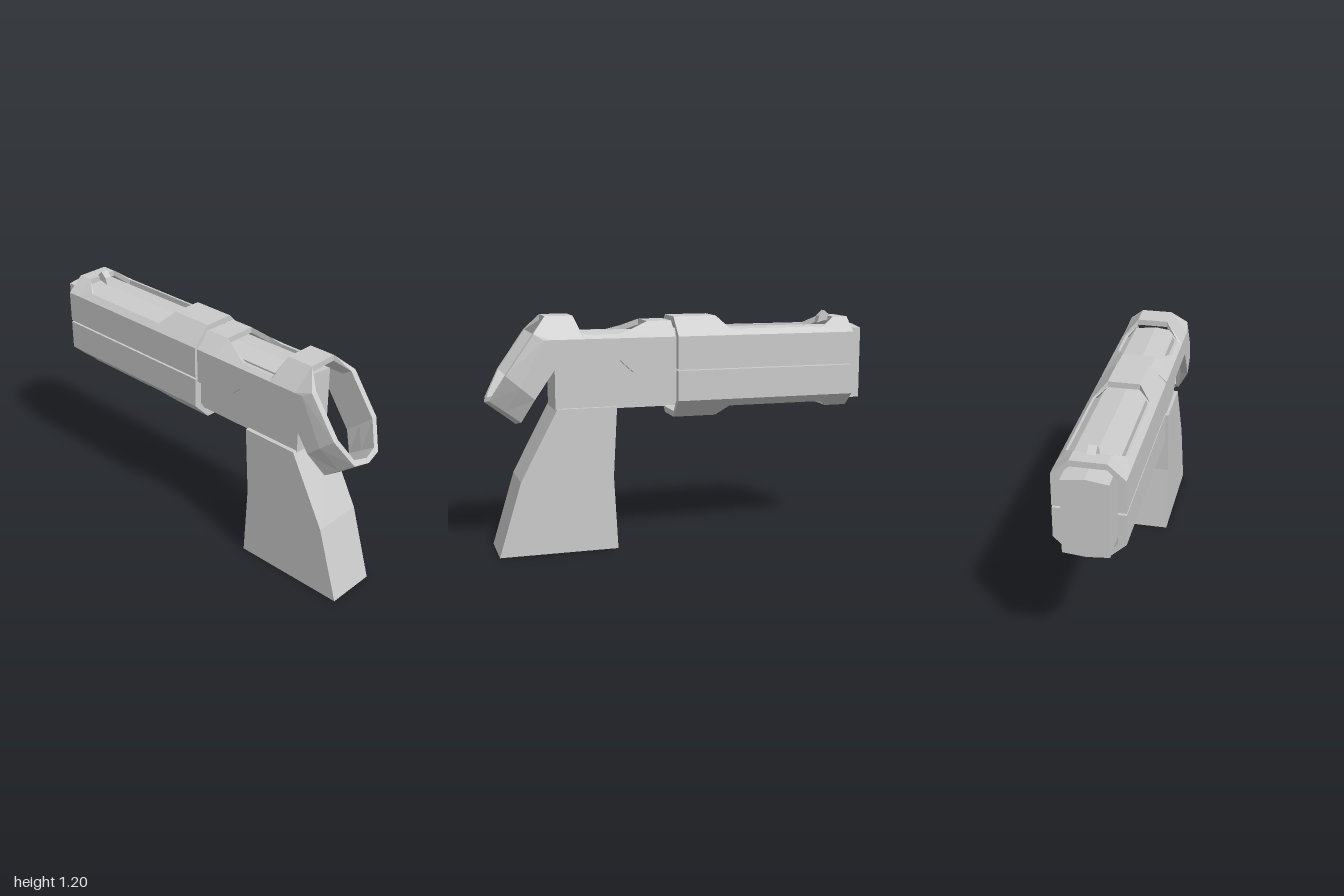
import * as THREE from 'three';

const grey = new THREE.MeshStandardMaterial({ color: 0xcccccc, flatShading: true, side: THREE.DoubleSide });

function add(group, name, geometry) {
  const mesh = new THREE.Mesh(geometry, grey);
  mesh.name = name;
  group.add(mesh);
  return mesh;
}

// Extrudes a side profile (x, y) across the width, centred on z = 0
function slab(points, halfWidth) {
  const shape = new THREE.Shape(points.map(p => new THREE.Vector2(...p)));
  return new THREE.ExtrudeGeometry(shape, { depth: 2 * halfWidth, bevelEnabled: false }).translate(0, 0, -halfWidth);
}

// Inner counterpart of an outer shell point: thick at the sides, a thin lip near the middle
const INNER = 0.13;
function inset([x, y, z], ySign, custom) {
  if (custom) return [x + custom[0], y + custom[1], z + custom[2]];
  return z > INNER ? [x, y, INNER] : [x, y - 0.03 * ySign, z];
}

// Lofts one side wall. Each station holds three outer points: seam, shoulder and lip.
function wall(stations, ySign, zSign) {
  const pos = [];
  const rings = stations.map(({ pts, custom }) =>
    [...pts, ...[...pts].reverse().map(p => inset(p, ySign, custom))].map(([x, y, z]) => [x, y, z * zSign]));
  const flip = ySign * zSign < 0;
  const tri = (a, b, c) => pos.push(...a, ...(flip ? c : b), ...(flip ? b : c));
  for (let i = 0; i < rings.length - 1; i++) {
    for (let j = 0; j < 6; j++) {
      const k = (j + 1) % 6, r = rings[i], s = rings[i + 1];
      tri(r[j], s[j], s[k]);
      tri(r[j], s[k], r[k]);
    }
  }
  const first = rings[0], last = rings[rings.length - 1];
  for (const [a, b, c] of [[0, 1, 4], [0, 4, 5], [1, 2, 3], [1, 3, 4]]) {
    tri(first[a], first[b], first[c]);
    tri(last[a], last[c], last[b]);
  }
  const g = new THREE.BufferGeometry();
  g.setAttribute('position', new THREE.Float32BufferAttribute(pos, 3));
  g.computeVertexNormals();
  return g;
}

// A straight station: x, seam height, shoulder height, lip height, lip half width
const st = (x, seam, shoulder, lip, z) => ({ pts: [[x, seam, 0.17], [x, shoulder, 0.17], [x, lip, z]] });

// A shell is two mirrored walls joined by flat bridges [x0, x1, outer y, half width]
function shell(parent, name, stations, ySign, bridges) {
  const g = new THREE.Group();
  g.name = name;
  add(g, name + 'LeftWall', wall(stations, ySign, 1));
  add(g, name + 'RightWall', wall(stations, ySign, -1));
  for (const [x0, x1, y, z] of bridges) {
    add(g, name + 'Bridge', new THREE.BoxGeometry(x1 - x0, 0.03, 2 * z)
      .translate((x0 + x1) / 2, y - 0.015 * ySign, 0));
  }
  parent.add(g);
}

export function createModel() {
  const model = new THREE.Group();
  model.name = 'pistol';

  // Inner body running the full length, with slightly peaked top and bottom
  const section = new THREE.Shape([[-0.11, 0.73], [0, 0.72], [0.11, 0.73], [0.11, 1.105], [0, 1.12], [-0.11, 1.105]]
    .map(p => new THREE.Vector2(...p)));
  add(model, 'barrelCore', new THREE.ExtrudeGeometry(section, { depth: 1.66, bevelEnabled: false })
    .rotateY(Math.PI / 2).translate(-1, 0, 0));

  // Grip
  add(model, 'grip', slab([[0.35, 0], [0.96, 0], [0.845, 0.38], [0.655, 0.74], [0.35, 0.74], [0.37, 0.38]], 0.133));

  // Front shell, upper and lower halves with long slots
  shell(model, 'upperFrontShell', [
    st(-0.93, 0.925, 1.09, 1.165, 0.085),
    st(-0.85, 0.925, 1.09, 1.165, 0.085),
    st(-0.77, 0.925, 1.09, 1.12, 0.142),
    st(-0.25, 0.925, 1.09, 1.12, 0.142),
    st(-0.19, 0.925, 1.09, 1.185, 0.08),
    st(0.037, 0.925, 1.09, 1.185, 0.08),
  ], 1, [[-0.93, -0.85, 1.165, 0.085], [-0.19, 0.037, 1.185, 0.08]]);

  shell(model, 'lowerFrontShell', [
    st(-0.93, 0.915, 0.76, 0.69, 0.095),
    st(-0.81, 0.915, 0.76, 0.69, 0.095),
    st(-0.77, 0.915, 0.76, 0.72, 0.137),
    st(-0.25, 0.915, 0.76, 0.72, 0.137),
    st(-0.19, 0.915, 0.76, 0.665, 0.08),
    st(0.037, 0.915, 0.76, 0.665, 0.08),
  ], -1, [[-0.93, -0.81, 0.69, 0.095], [-0.19, 0.037, 0.665, 0.08]]);

  // Rear shell, bending down into a closed hoop behind the body
  shell(model, 'rearShell', [
    st(0.052, 0.91, 1.09, 1.165, 0.085),
    st(0.18, 0.91, 1.09, 1.165, 0.085),
    st(0.27, 0.915, 1.09, 1.13, 0.12),
    st(0.34, 0.98, 1.09, 1.11, 0.145),
    st(0.525, 0.98, 1.09, 1.11, 0.145),
    st(0.56, 0.98, 1.09, 1.2, 0.08),
    { pts: [[0.64, 0.98, 0.17], [0.68, 1.09, 0.17], [0.70, 1.2, 0.08]] },
    { pts: [[0.645, 0.98, 0.17], [0.72, 1.09, 0.17], [0.77, 1.12, 0.16]] },
    { pts: [[0.77, 0.80, 0.17], [0.84, 0.86, 0.17], [0.91, 0.92, 0.16]] },
    { pts: [[0.832, 0.68, 0.11], [0.908, 0.735, 0.10], [0.985, 0.79, 0.09]], custom: [-0.015, 0.022, -0.015] },
    { pts: [[0.845, 0.655, 0], [0.922, 0.715, 0], [1, 0.775, 0]], custom: [-0.015, 0.022, 0] },
  ], 1, [[0.052, 0.18, 1.165, 0.085], [0.56, 0.70, 1.2, 0.08]]);

  // Front sight
  add(model, 'frontSight', slab([[-0.865, 1.15], [-0.79, 1.13], [-0.80, 1.165], [-0.83, 1.195], [-0.865, 1.165]], 0.02));

  return model;
}
